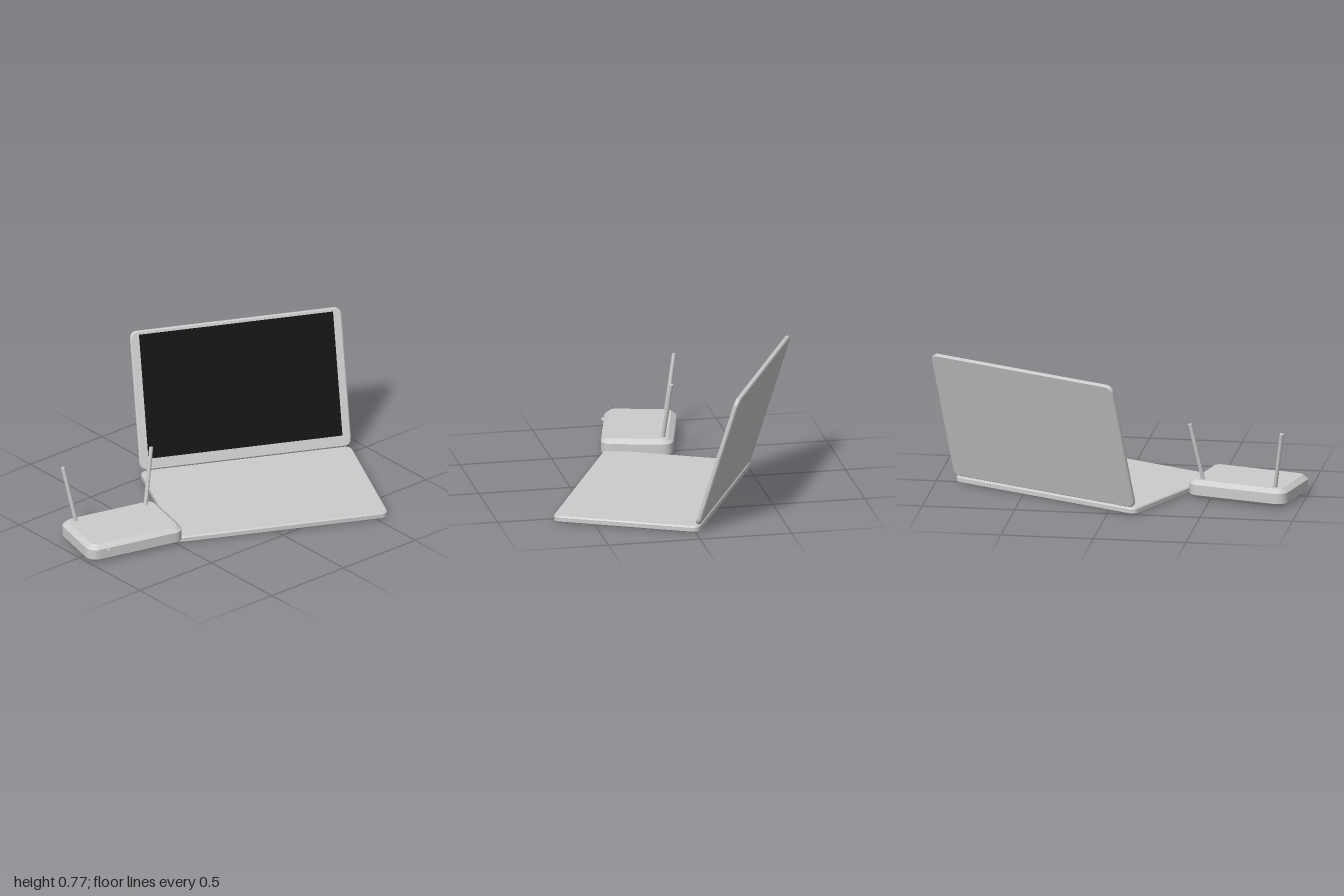
import * as THREE from 'three';
import { toCreasedNormals } from 'three/addons/utils/BufferGeometryUtils.js';

// Rounded slab in the XY plane, centred, from z = 0 to z = t, with chamfered rims
function slab(w, h, r, t, chamferIn, chamferUp) {
  const a = w / 2 - chamferIn, b = h / 2 - chamferIn, k = r - chamferIn;
  const s = new THREE.Shape();
  s.absarc(a - k, b - k, k, 0, Math.PI / 2);
  s.absarc(-a + k, b - k, k, Math.PI / 2, Math.PI);
  s.absarc(-a + k, -b + k, k, Math.PI, Math.PI * 1.5);
  s.absarc(a - k, -b + k, k, Math.PI * 1.5, Math.PI * 2);
  const g = new THREE.ExtrudeGeometry(s, {
    depth: t - 2 * chamferUp, curveSegments: 6,
    bevelEnabled: true, bevelSegments: 1, bevelSize: chamferIn, bevelThickness: chamferUp,
  });
  g.translate(0, 0, chamferUp);
  return toCreasedNormals(g, 0.4);
}

function add(parent, name, geometry, material) {
  const mesh = new THREE.Mesh(geometry, material);
  mesh.name = name;
  parent.add(mesh);
  return mesh;
}

function group(parent, name) {
  const g = new THREE.Group();
  g.name = name;
  parent.add(g);
  return g;
}

export function createModel() {
  const casing = new THREE.MeshStandardMaterial({ color: 0xcccccc });
  casing.name = 'casing grey';
  const black = new THREE.MeshStandardMaterial({ color: 0x0d0d0d });
  black.name = 'screen black';

  const model = new THREE.Group();
  model.name = 'laptopAndRouter';

  // Laptop, turned on the table
  const W = 1.165, D = 0.805, H = 0.757, T = 0.025;
  const laptop = group(model, 'laptop');
  laptop.position.set(0.205, 0, 0.1);
  laptop.rotation.y = THREE.MathUtils.degToRad(-25.5);
  add(laptop, 'laptopBase', slab(W, D, 0.04, 0.036, 0.006, 0.007).rotateX(-Math.PI / 2), casing);

  // Lid leaning back from the rear edge of the base
  const lid = group(laptop, 'lid');
  lid.position.set(0, 0.038, -D / 2);
  lid.rotation.x = THREE.MathUtils.degToRad(-17.2);
  add(lid, 'lidPanel', slab(W, H, 0.04, T, 0.006, 0.006).translate(0, H / 2, 0), casing);
  add(lid, 'screen', new THREE.BoxGeometry(1.07, 0.675, 0.004), black)
    .position.set(0, 0.062 + 0.675 / 2, T);

  // Router body
  const router = group(model, 'router');
  router.position.set(-0.69, 0, -0.015);
  router.rotation.y = THREE.MathUtils.degToRad(-14);
  add(router, 'routerBody', slab(0.565, 0.386, 0.06, 0.1, 0.028, 0.022).rotateX(-Math.PI / 2), casing);

  // Button on the router's front
  const button = add(router, 'button', new THREE.CylinderGeometry(0.011, 0.011, 0.024, 16), casing);
  button.rotation.x = Math.PI / 2;
  button.position.set(-0.173, 0.064, 0.193);

  // Antennas splayed out of the rear corners
  const antennas = [
    ['rightAntenna', [-0.858, 0.085, -0.195], [-0.904, 0.41, -0.252]],
    ['leftAntenna', [-0.458, 0.085, -0.098], [-0.39, 0.41, -0.13]],
  ];
  for (const [name, foot, tip] of antennas) {
    const a = new THREE.Vector3(...foot), b = new THREE.Vector3(...tip);
    const dir = b.clone().sub(a);
    const rod = add(model, name, new THREE.CylinderGeometry(0.011, 0.011, dir.length(), 16), casing);
    rod.position.copy(a).add(b).multiplyScalar(0.5);
    rod.quaternion.setFromUnitVectors(new THREE.Vector3(0, 1, 0), dir.normalize());
  }
  return model;
}
